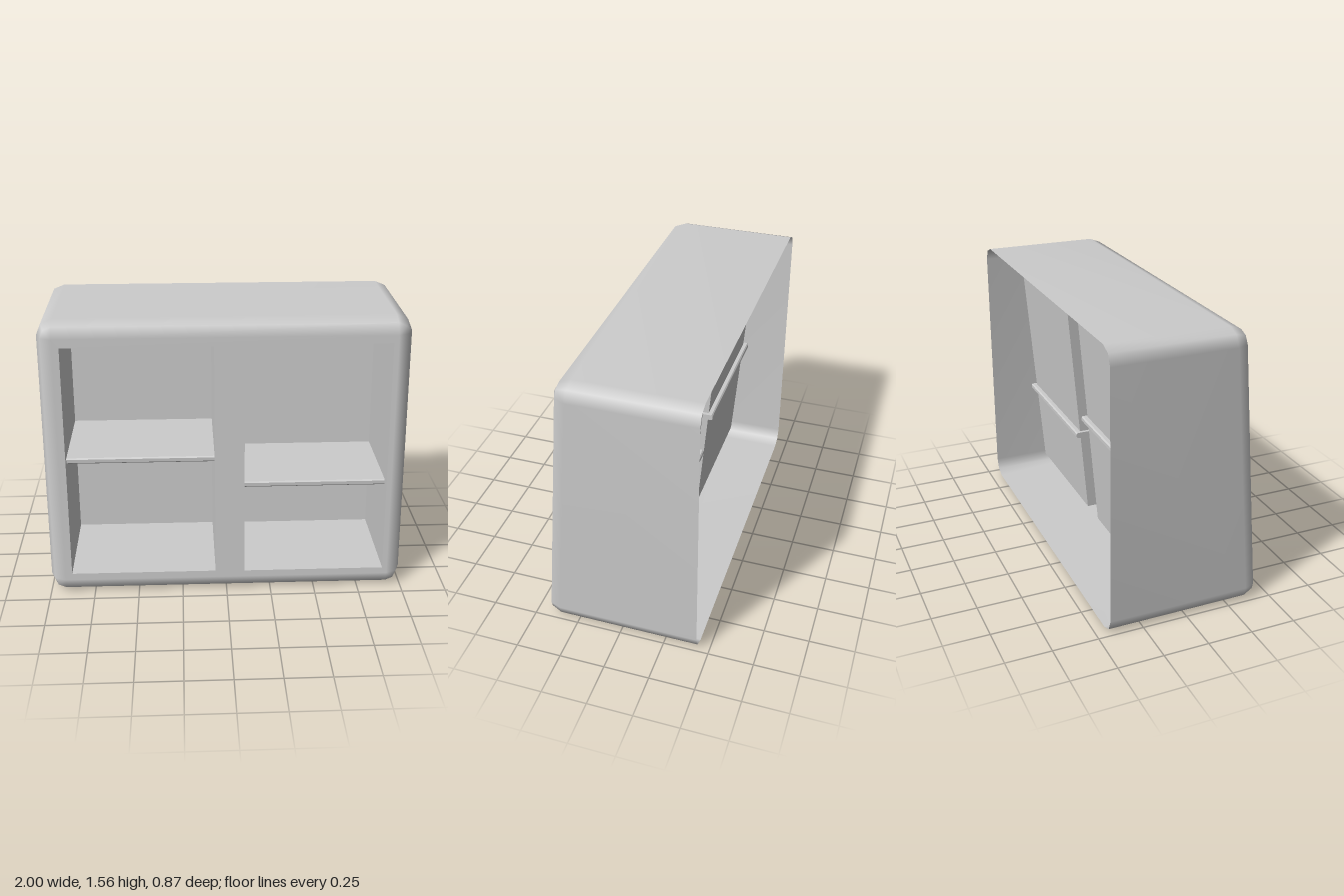
import * as THREE from 'three';

const H = 1.56, BACK = -0.435, R = 0.085, DEPTH = 0.56;
// z of the leaning front plane at height y
const frontZ = (y) => 0.443 - 0.0865 * y;
const material = new THREE.MeshStandardMaterial({ color: 0xcccccc, side: THREE.DoubleSide });

function add(group, name, geometry) {
  const mesh = new THREE.Mesh(geometry, material);
  mesh.name = name;
  group.add(mesh);
}

// Move every vertex forward to follow the leaning front
function lean(geometry) {
  const p = geometry.attributes.position;
  for (let i = 0; i < p.count; i++) p.setZ(i, p.getZ(i) + frontZ(p.getY(i)));
  geometry.computeVertexNormals();
  return geometry;
}

// Rounded rectangle, inset from the outline, two segments per corner
function outline(inset) {
  const r = R - inset, points = [];
  const corners = [[1, 0], [1, H], [-1, H], [-1, 0]];
  corners.forEach(([x, y], c) => {
    const cx = x - Math.sign(x) * R, cy = y === 0 ? R : H - R;
    for (let k = 0; k < 3; k++) {
      const a = (c - 1) * Math.PI / 2 + k * Math.PI / 4;
      points.push([cx + r * Math.cos(a), cy + r * Math.sin(a)]);
    }
  });
  return points;
}

// Thin outer casing, open at the back, with a rounded front edge
function casing() {
  const mid = R * (1 - Math.SQRT1_2);
  const rings = [[0, null], [0, R], [mid, mid], [R, 0]];
  const pos = [], index = [], n = 12;
  for (const [inset, setback] of rings)
    for (const [x, y] of outline(inset))
      pos.push(x, y, setback === null ? BACK : frontZ(y) - setback);
  for (let r = 0; r < rings.length - 1; r++)
    for (let i = 0; i < n; i++) {
      const a = r * n + i, b = r * n + (i + 1) % n;
      index.push(a, b, b + n, a, b + n, a + n);
    }
  const g = new THREE.BufferGeometry();
  g.setAttribute('position', new THREE.Float32BufferAttribute(pos, 3));
  g.setIndex(index);
  g.computeVertexNormals();
  // The last ring blends into the flat front
  const normal = new THREE.Vector3(0, 0.0865, 1).normalize();
  for (let i = 3 * n; i < 4 * n; i++) g.attributes.normal.setXYZ(i, normal.x, normal.y, normal.z);
  return g;
}

function rectangle(path, x0, x1, y0, y1) {
  return path.moveTo(x0, y0).lineTo(x1, y0).lineTo(x1, y1).lineTo(x0, y1).closePath();
}

// Box without its front face, leaning with the front
function compartment({ x0, x1, y0, y1 }) {
  const g = new THREE.BoxGeometry(x1 - x0, y1 - y0, DEPTH);
  const index = Array.from(g.index.array);
  index.splice(24, 6);
  g.setIndex(index);
  g.clearGroups();
  g.translate((x0 + x1) / 2, (y0 + y1) / 2, -DEPTH / 2);
  return lean(g);
}

// Slab with chamfered long edges, reaching slightly through the compartment walls
function shelf({ x0, x1, shelfY }) {
  const t = 0.0165, c = 0.007, over = 0.02;
  const zf = 0.335, zb = frontZ(shelfY) - DEPTH - 0.03;
  const profile = new THREE.Shape([
    [zf - c, -t], [zf, -t + c], [zf, t - c], [zf - c, t],
    [zb + c, t], [zb, t - c], [zb, -t + c], [zb + c, -t],
  ].map(([z, y]) => new THREE.Vector2(-z, y)));
  const g = new THREE.ExtrudeGeometry(profile, { depth: x1 - x0 + 2 * over, bevelEnabled: false });
  g.rotateY(Math.PI / 2);
  g.translate(x0 - over, shelfY, 0);
  return g;
}

export function createModel() {
  const model = new THREE.Group();
  model.name = 'shelfCabinet';

  const bays = [
    { name: 'right', x0: -0.875, x1: -0.063, y0: 0.123, y1: 1.43, shelfY: 0.781 },
    { name: 'left', x0: 0.1, x1: 0.89, y0: 0.12, y1: 1.433, shelfY: 0.618 },
  ];

  add(model, 'casing', casing());

  // Front frame with two openings
  const frame = rectangle(new THREE.Shape(), -1 + R, 1 - R, R, H - R);
  for (const b of bays) frame.holes.push(rectangle(new THREE.Path(), b.x0, b.x1, b.y0, b.y1));
  add(model, 'frontFrame', lean(new THREE.ShapeGeometry(frame)));

  for (const b of bays) {
    add(model, b.name + 'Compartment', compartment(b));
    add(model, b.name + 'Shelf', shelf(b));
  }
  return model;
}
